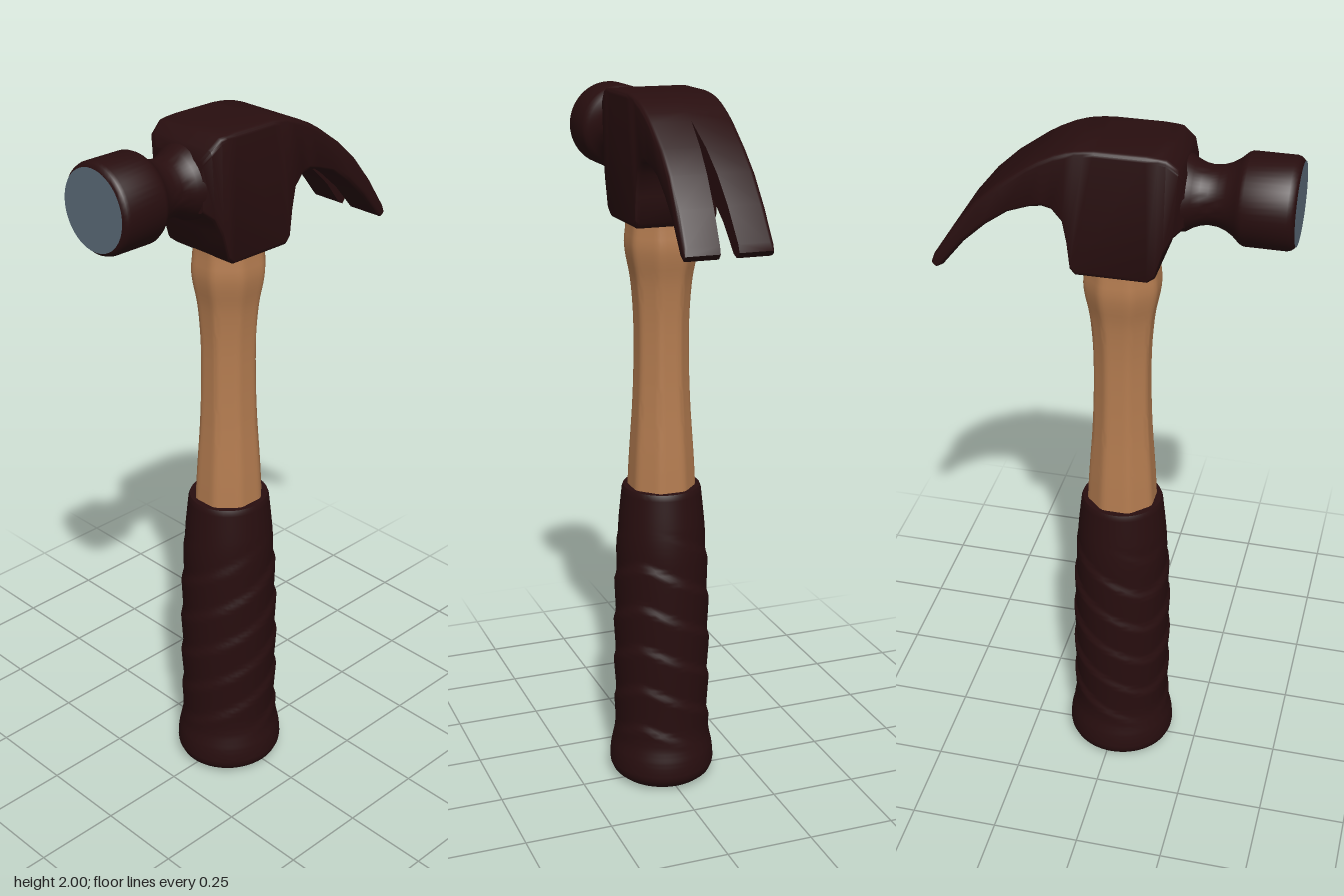
import * as THREE from 'three';
import { mergeVertices, toCreasedNormals } from 'three/addons/utils/BufferGeometryUtils.js';

const AXIS_X = -0.018; // handle axis
const HEAD_Y = 1.865; // striking axis

// Turned solid through [radius, height] points, with an optional vertex rule.
function turned(points, segments, crease, rule) {
  let geo = new THREE.LatheGeometry(points.map(([r, y]) => new THREE.Vector2(r, y)), segments);
  geo.deleteAttribute('uv');
  geo.deleteAttribute('normal');
  geo = mergeVertices(geo, 1e-5);
  if (rule) {
    const p = geo.attributes.position;
    const v = new THREE.Vector3();
    for (let i = 0; i < p.count; i++) {
      rule(v.fromBufferAttribute(p, i));
      p.setXYZ(i, v.x, v.y, v.z);
    }
  }
  return toCreasedNormals(geo, crease);
}

// Smooth profile from a few [radius, height] points.
function smoothProfile(points, count) {
  const curve = new THREE.CatmullRomCurve3(points.map(([r, y]) => new THREE.Vector3(r, y, 0)), false, 'centripetal');
  return curve.getSpacedPoints(count).map((p) => [p.x, p.y]);
}

// Head stations: top x, top y, bottom x, bottom y, half width.
const STATIONS = [
  [-0.192, 1.94, -0.192, 1.805, 0.09], [-0.18, 1.97, -0.168, 1.785, 0.11],
  [-0.15, 1.995, -0.145, 1.74, 0.115], [-0.13, 1.998, -0.125, 1.67, 0.115],
  [-0.1, 2, -0.105, 1.655, 0.115], [0.03, 2, 0.082, 1.655, 0.115],
  [0.055, 1.998, 0.095, 1.67, 0.115], [0.078, 1.995, 0.102, 1.74, 0.115],
  [0.1, 1.99, 0.113, 1.8, 0.115], [0.13, 1.98, 0.14, 1.832, 0.115],
  [0.17, 1.961, 0.165, 1.838, 0.115], [0.2, 1.943, 0.2, 1.832, 0.115],
  [0.28, 1.886, 0.255, 1.812, 0.115], [0.34, 1.83, 0.315, 1.77, 0.117],
  [0.4, 1.756, 0.375, 1.715, 0.119], [0.455, 1.672, 0.432, 1.645, 0.121],
  [0.462, 1.652, 0.448, 1.637, 0.119],
];

// One half of the head and its claw prong; side is +1 or -1 along z.
function headHalf(side) {
  const positions = [];
  const index = [];
  const arc = 4;
  const n = 2 * (arc + 1) + 2;
  const slit = (x) => Math.max(0, (x - 0.2) * 0.095);
  for (const [tx, ty, bx, by, w] of STATIONS) {
    const height = Math.hypot(tx - bx, ty - by);
    const r = Math.min(0.014, height * 0.35);
    // t runs from the top (0) to the bottom (1) of the section
    const add = (t, z) => positions.push(tx + (bx - tx) * t, ty + (by - ty) * t, side * z);
    add(0, slit(tx));
    for (let k = 0; k <= arc; k++) {
      const a = (k / arc) * Math.PI / 2;
      add(r * (1 - Math.cos(a)) / height, w - r + r * Math.sin(a));
    }
    for (let k = arc; k >= 0; k--) {
      const a = (k / arc) * Math.PI / 2;
      add(1 - r * (1 - Math.cos(a)) / height, w - r + r * Math.sin(a));
    }
    add(1, slit(bx));
  }
  const tri = (a, b, c) => (side > 0 ? index.push(a, b, c) : index.push(a, c, b));
  const last = (STATIONS.length - 1) * n;
  for (let s = 0; s < last; s += n) {
    for (let j = 0; j < n; j++) {
      const a = s + j;
      const b = s + (j + 1) % n;
      tri(a, b, b + n);
      tri(a, b + n, a + n);
    }
  }
  for (let j = 1; j < n - 1; j++) {
    tri(0, j + 1, j);
    tri(last, last + j, last + j + 1);
  }
  const geo = new THREE.BufferGeometry();
  geo.setAttribute('position', new THREE.Float32BufferAttribute(positions, 3));
  geo.setIndex(index);
  return toCreasedNormals(geo, 0.7);
}

export function createModel() {
  const dark = new THREE.MeshStandardMaterial({ color: 0x280e0f });
  dark.name = 'dark maroon';
  const wood = new THREE.MeshStandardMaterial({ color: 0xb47c50 });
  wood.name = 'wood';
  const steel = new THREE.MeshStandardMaterial({ color: 0x5c6c7a });
  steel.name = 'steel';

  const group = new THREE.Group();
  group.name = 'hammer';
  const add = (name, geo, material) => {
    const mesh = new THREE.Mesh(geo, material);
    mesh.name = name;
    group.add(mesh);
    return mesh;
  };

  // Wooden shaft: softened octagon, waisted in the middle
  const shaftProfile = smoothProfile([
    [0.095, 0.88], [0.09, 0.98], [0.079, 1.15], [0.075, 1.28], [0.076, 1.4],
    [0.084, 1.5], [0.096, 1.565], [0.099, 1.6], [0.095, 1.64], [0.093, 1.7],
  ], 40);
  const shaft = add('shaft', turned(shaftProfile, 64, 0.6, (v) => {
    const a = Math.atan2(v.z, v.x) + Math.PI * 2 + Math.PI / 8;
    const k = Math.min(1.06, 1 / Math.cos((a % (Math.PI / 4)) - Math.PI / 8));
    v.x *= k;
    v.z *= k * 0.96;
  }), wood);
  shaft.position.x = AXIS_X;

  // Grip: flared butt and shallow slanting ridges that meet in chevrons
  const gripProfile = [
    [0, 0], [0.11, 0.002], [0.135, 0.008], [0.149, 0.02], [0.156, 0.035],
    ...smoothProfile([
      [0.158, 0.05], [0.155, 0.085], [0.146, 0.13], [0.143, 0.2], [0.143, 0.4],
      [0.141, 0.55], [0.136, 0.68], [0.126, 0.8], [0.116, 0.895],
    ], 110),
    [0.112, 0.905], [0.08, 0.905],
  ];
  const grip = add('grip', turned(gripProfile, 64, 0.8, (v) => {
    const r = Math.hypot(v.x, v.z);
    v.z *= 0.965;
    if (v.y < 0.12 || v.y > 0.8) return;
    const fade = Math.min(1, (v.y - 0.12) / 0.06, (0.8 - v.y) / 0.12);
    const turn = Math.acos(THREE.MathUtils.clamp(-(v.x + v.z) / Math.SQRT2 / r, -1, 1)) / Math.PI;
    const phase = (((v.y - 0.22 * turn) / 0.125) % 1 + 1) % 1;
    const ridge = phase < 0.8 ? phase / 0.8 : (1 - phase) / 0.2;
    const k = 1 + (0.007 * (ridge - 0.8) * fade) / r;
    v.x *= k;
    v.z *= k;
  }), dark);
  grip.position.x = AXIS_X;

  // Head body with split claw
  for (const side of [1, -1]) add(side > 0 ? 'headLeft' : 'headRight', headHalf(side), dark);

  // Neck and poll, turned about the x axis
  const poll = add('poll', turned([
    [0.1, 0.165], [0.097, 0.187], [0.086, 0.205], [0.078, 0.225], [0.075, 0.245], [0.077, 0.268],
    [0.085, 0.29], [0.096, 0.308], [0.105, 0.318], [0.113, 0.327], [0.118, 0.338], [0.118, 0.447],
    [0.115, 0.456], [0.109, 0.463], [0.103, 0.465], [0, 0.465],
  ], 48, 0.6), dark);
  poll.rotation.z = Math.PI / 2;
  poll.position.y = HEAD_Y;

  // Bare striking face
  const face = add('strikingFace', new THREE.CircleGeometry(0.106, 48), steel);
  face.rotation.y = -Math.PI / 2;
  face.position.set(-0.467, HEAD_Y, 0);

  return group;
}
